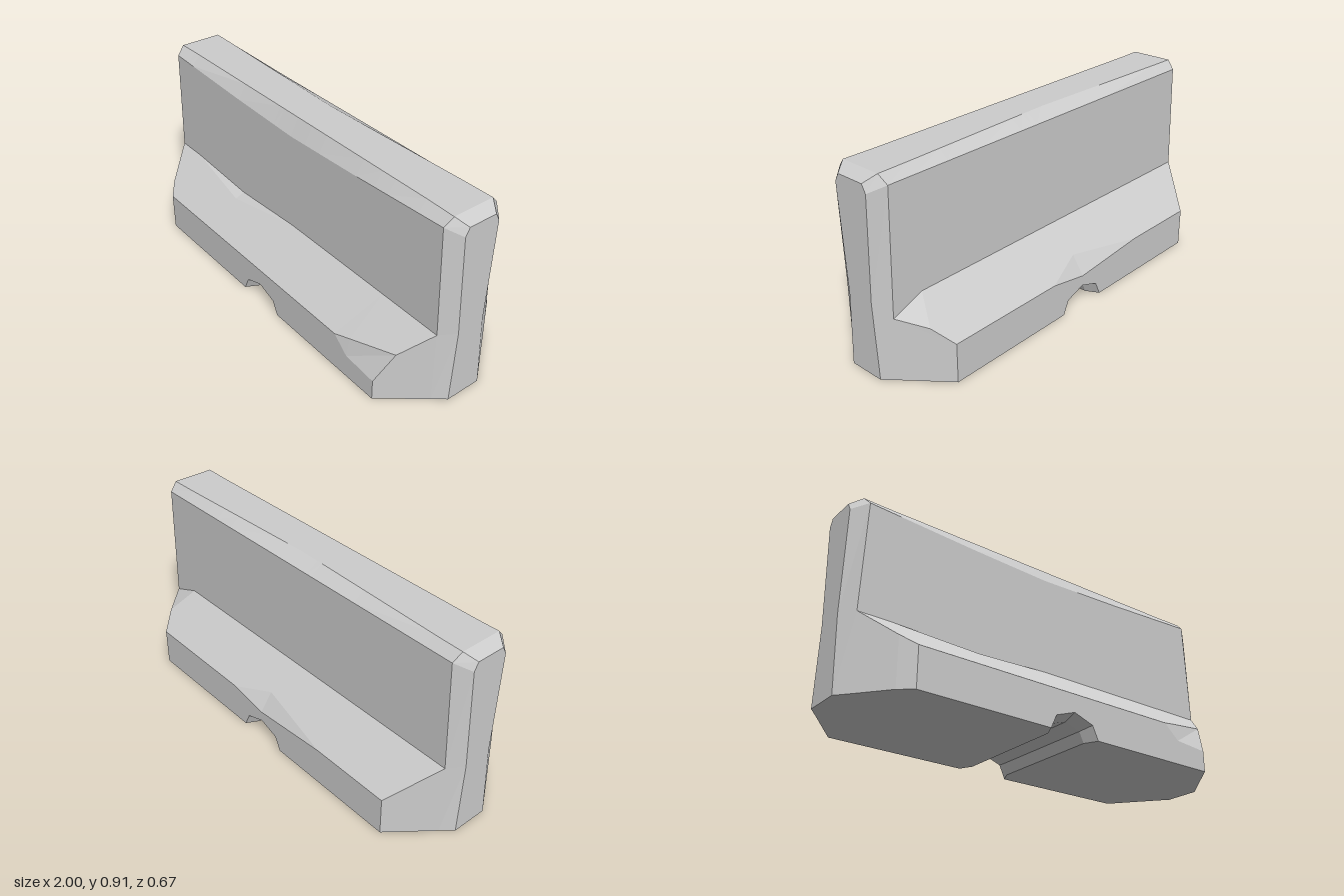
import * as THREE from 'three';

// Piecewise linear lookup through [x, value] pairs
function lerpAt(x, pts) {
  if (x <= pts[0][0]) return pts[0][1];
  for (let i = 1; i < pts.length; i++) {
    const [x0, v0] = pts[i - 1], [x1, v1] = pts[i];
    if (x <= x1) return v0 + (v1 - v0) * (x - x0) / (x1 - x0);
  }
  return pts[pts.length - 1][1];
}

const WALL = 0.142, FOOT = 0.335;
const slopeY = z => 0.185 + (FOOT - z) * (0.17 / (FOOT - WALL));
const footZ = x => Math.min(FOOT, Math.max(WALL, FOOT - (Math.abs(x) - 0.8) * 1.25));
const NOTCH = [[-0.13, 0], [-0.1, 0.065], [0, 0.1], [0.1, 0.065], [0.13, 0]];

// Half cross-section at x, from the underside up to the top edge.
// side is +1 for the front, -1 for the back. Points are [x, y, z].
function halfSection(x, side) {
  const front = side > 0, ax = Math.abs(x), s = Math.sign(x);
  let p;
  if (ax === 1) {
    // End face, waisted at the slope height
    const waist = [x, 0.355, 0.068];
    p = [[x, 0, 0.06], [x, 0, 0.087], waist, waist, waist, waist, [x, 0.84, 0.09], [x, 0.877, 0.07]];
  } else if (ax === 0.954) {
    // Where the end chamfer meets the upper wall
    const corner = [x, !front && x > 0 ? 0.295 : 0.355, WALL];
    p = [[x, 0, 0.1], [x, 0, WALL], corner, corner, corner, corner,
      [s * 0.935, 0.87, WALL], [s * 0.947, 0.91, 0.103]];
  } else {
    const z = footZ(x), notch = lerpAt(x, NOTCH);
    // Worn patches: dent above the front slope, chip below the back slope
    const dent = front ? lerpAt(x, [[-0.78, 0], [-0.4, 1], [0, 0]]) : 0;
    const chip = front ? 0 : lerpAt(x, [[-0.4, 0], [0, 1], [0.2, 0]]);
    const zc = z - 0.06 * chip, zd = WALL + 0.048 * dent;
    const wallTop = front ? lerpAt(x, [[-0.935, 0.87], [-0.44, 0.845], [0, 0.83], [0.44, 0.845], [0.935, 0.87]]) : 0.87;
    const topZ = front ? 0.1 : lerpAt(x, [[-0.95, 0.105], [0, 0.075], [0.95, 0.105]]);
    p = [
      [ax <= 0.13 ? x * 0.76 : x, notch * 0.76, z * 0.82],
      [x, notch, z],
      [x, slopeY(z) - 0.035 * chip, z],
      [x, slopeY(zc), zc],
      [x, slopeY(zd), zd],
      [x, 0.355 - 0.025 * dent, WALL],
      [x, wallTop, WALL],
      [x, 0.91, topZ],
    ];
    if (front && x === -0.8) p[1][0] = p[2][0] = p[3][0] = -0.78;
    // Broken front corner
    if (front && x === 0.63) { p[2][1] = 0.115; p[3] = [x, 0.202, 0.317]; }
    if (front && x === 0.8) { p[2][1] = 0.1; p[3] = [0.856, 0.247, 0.265]; }
    // Broken back corner
    if (!front && x === 0.8) p[3] = [0.864, 0.255, 0.255];
  }
  return p.map(([a, b, c]) => [a, b, c * side]);
}

// Joins the cross-sections into one closed, flat-shaded solid
function barrierGeometry() {
  const xs = [-1, -0.954, -0.84, -0.8, -0.4, -0.13, -0.1, 0, 0.1, 0.13, 0.2, 0.44, 0.55, 0.63, 0.8, 0.954, 1];
  const rings = xs.map(x => [...halfSection(x, 1), ...halfSection(x, -1).reverse()]
    .map(p => new THREE.Vector3(...p)));
  const n = rings[0].length, pos = [];
  const tri = (a, b, c) => {
    const area = b.clone().sub(a).cross(c.clone().sub(a)).length();
    if (area > 1e-7) for (const v of [a, b, c]) pos.push(v.x, v.y, v.z);
  };
  const quad = (a, b, c, d) => { tri(a, b, c); tri(a, c, d); };

  for (let i = 0; i < rings.length - 1; i++) {
    const r = rings[i], q = rings[i + 1];
    for (let k = 0; k < n; k++) {
      const m = (k + 1) % n;
      quad(r[k], q[k], q[m], r[m]);
    }
  }
  // End faces, as strips between the front and back halves
  const first = rings[0], last = rings[rings.length - 1];
  for (let k = 0; k < n / 2 - 1; k++) {
    const m = n - 1 - k;
    quad(first[k], first[k + 1], first[m - 1], first[m]);
    quad(last[m], last[m - 1], last[k + 1], last[k]);
  }
  const g = new THREE.BufferGeometry();
  g.setAttribute('position', new THREE.Float32BufferAttribute(pos, 3));
  g.computeVertexNormals();
  return g;
}

export function createModel() {
  const group = new THREE.Group();
  group.name = 'concreteBarrier';
  const material = new THREE.MeshStandardMaterial({ color: 0xcccccc, flatShading: true });
  const body = new THREE.Mesh(barrierGeometry(), material);
  body.name = 'barrierBody';
  group.add(body);
  return group;
}
